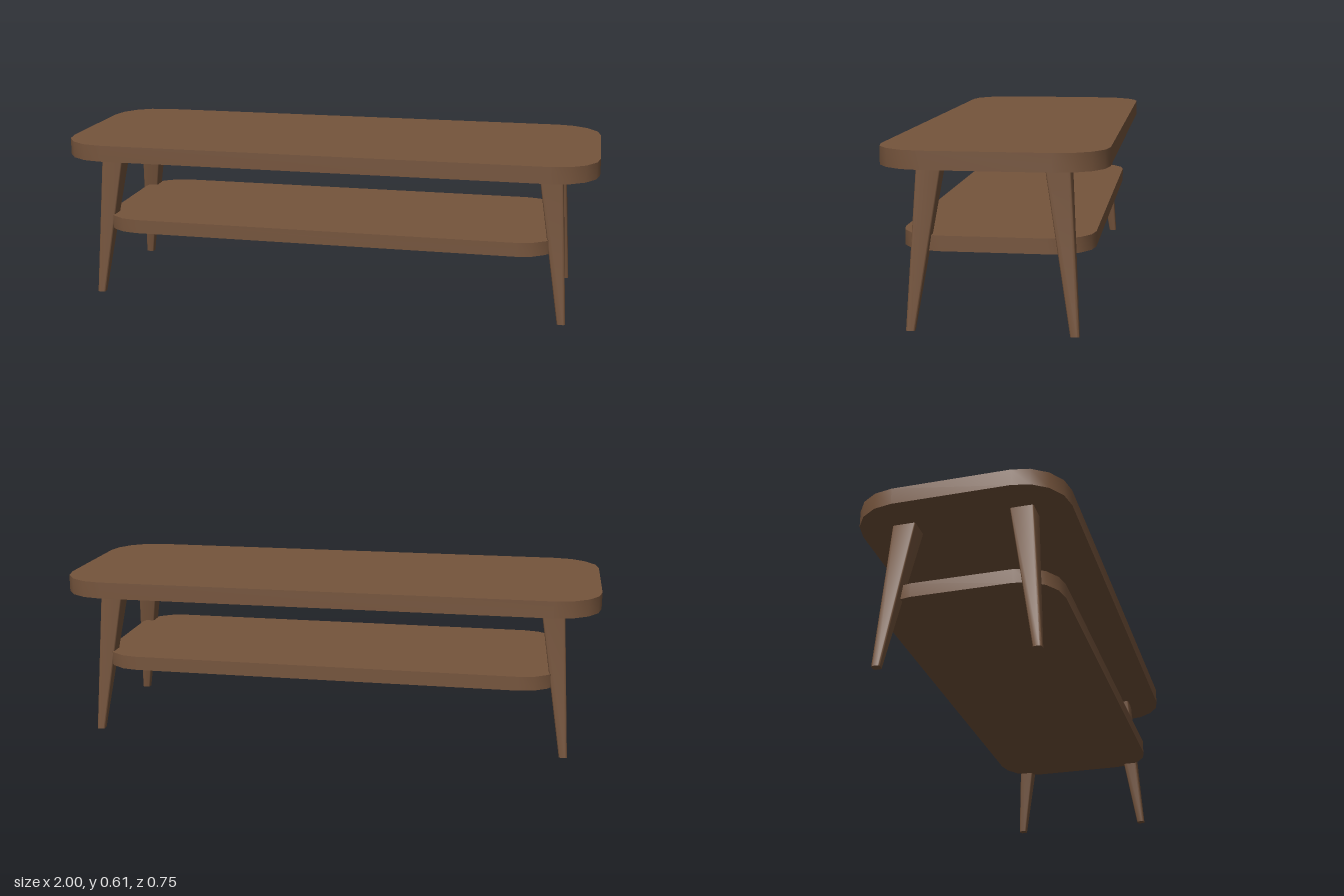
import * as THREE from 'three';
import { toCreasedNormals } from 'three/addons/utils/BufferGeometryUtils.js';

// Upright slab with rounded corners: half sizes hx, hz, from y0 to y1
function roundedSlab(hx, hz, r, y0, y1, segments) {
  const s = new THREE.Shape();
  s.absarc(hx - r, hz - r, r, 0, Math.PI / 2);
  s.absarc(r - hx, hz - r, r, Math.PI / 2, Math.PI);
  s.absarc(r - hx, r - hz, r, Math.PI, Math.PI * 1.5);
  s.absarc(hx - r, r - hz, r, Math.PI * 1.5, Math.PI * 2);
  s.closePath();
  const g = new THREE.ExtrudeGeometry(s, { depth: y1 - y0, bevelEnabled: false, curveSegments: segments / 2 });
  g.rotateX(-Math.PI / 2);
  g.translate(0, y0, 0);
  return g;
}

export function createModel() {
  const group = new THREE.Group();
  const wood = new THREE.MeshStandardMaterial({ color: 0x75543c });
  const add = (name, geometry) => {
    const mesh = new THREE.Mesh(toCreasedNormals(geometry, 0.7), wood);
    mesh.name = name;
    group.add(mesh);
  };

  // Table top and the smaller shelf below it
  add('tableTop', roundedSlab(1, 0.376, 0.168, 0.549, 0.61, 4));
  add('shelf', roundedSlab(0.865, 0.324, 0.145, 0.262, 0.314, 4));

  // Four splayed legs, tapering to the foot while the corner rounding stays constant
  const height = 0.549, topHalf = 0.042, footHalf = 0.015;
  for (const [name, sx, sz] of [
    ['frontLeftLeg', 1, 1], ['frontRightLeg', -1, 1],
    ['backLeftLeg', 1, -1], ['backRightLeg', -1, -1],
  ]) {
    const g = roundedSlab(topHalf, topHalf, 0.008, 0, height, 4);
    const p = g.attributes.position;
    for (let i = 0; i < p.count; i++) {
      const x = p.getX(i), z = p.getZ(i), t = 1 - p.getY(i) / height;
      const shrink = (topHalf - footHalf) * t;
      p.setX(i, x - Math.sign(x) * shrink + sx * (0.83 + 0.061 * t));
      p.setZ(i, z - Math.sign(z) * shrink + sz * (0.21 + 0.061 * t));
    }
    add(name, g);
  }
  return group;
}
